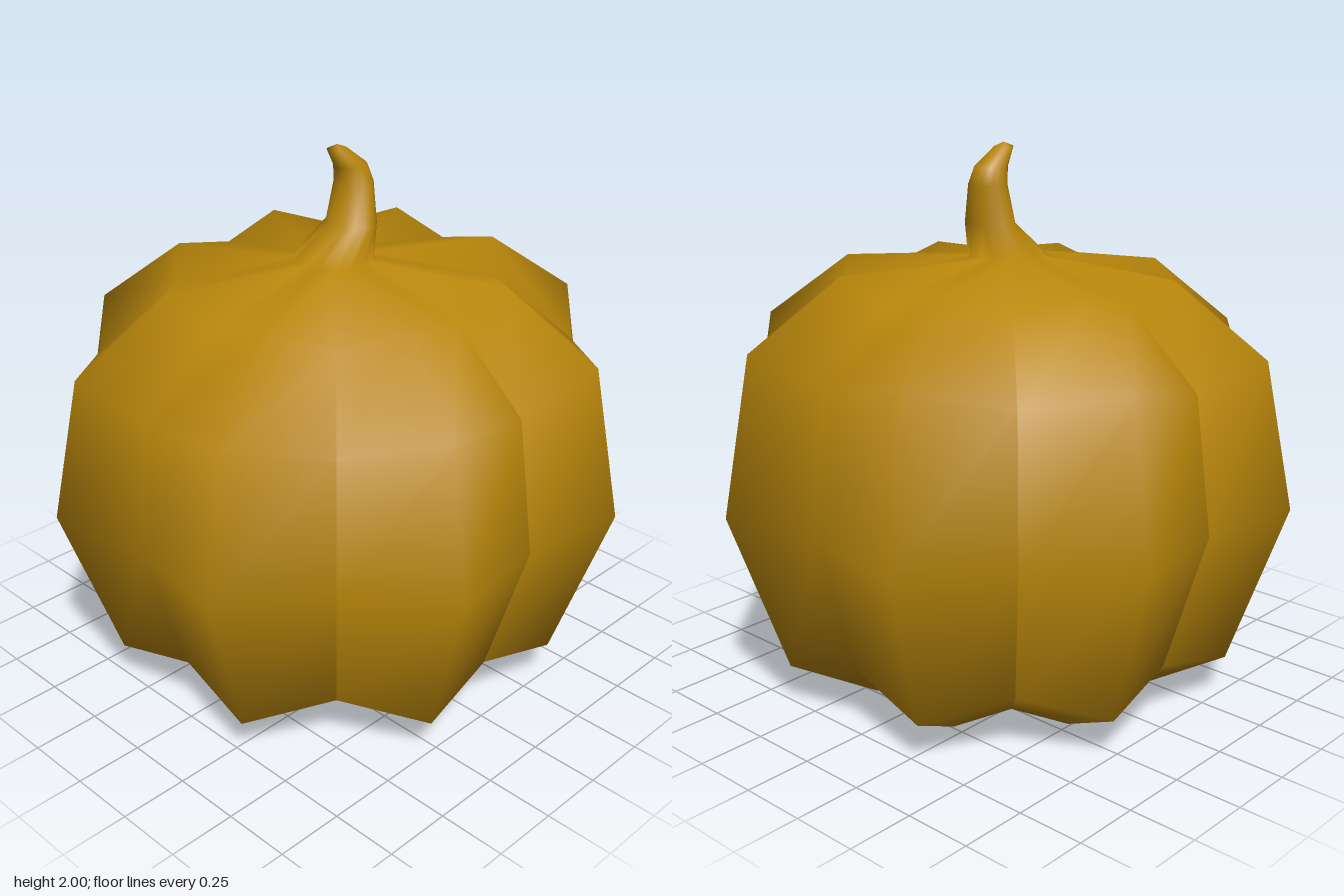
import * as THREE from 'three';

const LOBES = 8;
const SMOOTH_ROW = 5; // from this row up, neighbouring lobes share vertices and shade smoothly

// Body rows, bottom to top: [ridge radius, ridge y, valley radius, valley y, tilt]
const bodyRows = [
  [0, 0.25, 0, 0.25, 0],
  [0.53, 0, 0.5, 0.07, 0],
  [0.855, 0.17, 0.75, 0.24, 0],
  [1.06, 0.77, 0.92, 0.77, 0],
  [0.955, 1.31, 0.85, 1.25, 0.035],
  [0.62, 1.56, 0.57, 1.5, 0.03],
];

// Stem rows, collar to tip: [centre x, y, centre z, radius x, radius z]
const stemRows = [
  [0.015, 1.6, 0.03, 0.145, 0.14],
  [0.04, 1.72, -0.035, 0.1, 0.078],
  [0.027, 1.86, -0.06, 0.075, 0.062],
  [0.025, 1.92, -0.045, 0.056, 0.062],
  [0.02, 1.985, 0.015, 0.031, 0.038],
  [0.02, 2.0, 0.015, 0, 0],
];
const rowCount = bodyRows.length + stemRows.length;

// Position of one vertex; column 0 and 2 are valleys, 1 is the ridge of a lobe
function point(lobe, row, col) {
  const angle = ((lobe * 2 + col) * Math.PI) / LOBES;
  const s = Math.sin(angle), c = Math.cos(angle);
  if (row < bodyRows.length) {
    const [ridgeR, ridgeY, valleyR, valleyY, tilt] = bodyRows[row];
    const r = col === 1 ? ridgeR : valleyR;
    const y = col === 1 ? ridgeY : valleyY;
    return [r * s, y - tilt * r * c, r * c];
  }
  const [x, y, z, rx, rz] = stemRows[row - bodyRows.length];
  return [x + rx * s, y, z + rz * c];
}

// Vertex number, joining lobes across the valley on the smooth rows
function vertexId(lobe, row, col) {
  if (col === 2 && row >= SMOOTH_ROW) return vertexId((lobe + 1) % LOBES, row, 0);
  return (lobe * rowCount + row) * 3 + col;
}

// Triangles between two rows of the loft
function facesBetween(firstRow, lastRow) {
  const index = [];
  for (let lobe = 0; lobe < LOBES; lobe++) {
    for (let row = firstRow; row < lastRow; row++) {
      for (let col = 0; col < 2; col++) {
        const a = vertexId(lobe, row, col), b = vertexId(lobe, row, col + 1);
        const c = vertexId(lobe, row + 1, col + 1), d = vertexId(lobe, row + 1, col);
        if (row > 0) index.push(a, b, c);
        if (row < rowCount - 2) index.push(a, c, d);
        else index.push();
      }
    }
  }
  return index;
}

export function createModel() {
  const group = new THREE.Group();
  group.name = 'pumpkin';
  const golden = new THREE.MeshStandardMaterial({ color: 0xb8860b });
  golden.name = 'golden';

  // One continuous loft so that the stem blends softly into the body
  const positions = [];
  for (let lobe = 0; lobe < LOBES; lobe++)
    for (let row = 0; row < rowCount; row++)
      for (let col = 0; col < 3; col++) positions.push(...point(lobe, row, col));
  const loft = new THREE.BufferGeometry();
  loft.setAttribute('position', new THREE.Float32BufferAttribute(positions, 3));
  loft.setIndex(facesBetween(0, rowCount - 1));
  loft.computeVertexNormals();

  // Split the loft at the collar into body and stem
  const addPart = (name, firstRow, lastRow) => {
    const geometry = loft.clone();
    geometry.setIndex(facesBetween(firstRow, lastRow));
    const mesh = new THREE.Mesh(geometry, golden);
    mesh.name = name;
    group.add(mesh);
  };
  addPart('ribbedBody', 0, bodyRows.length);
  addPart('stem', bodyRows.length, rowCount - 1);
  return group;
}
